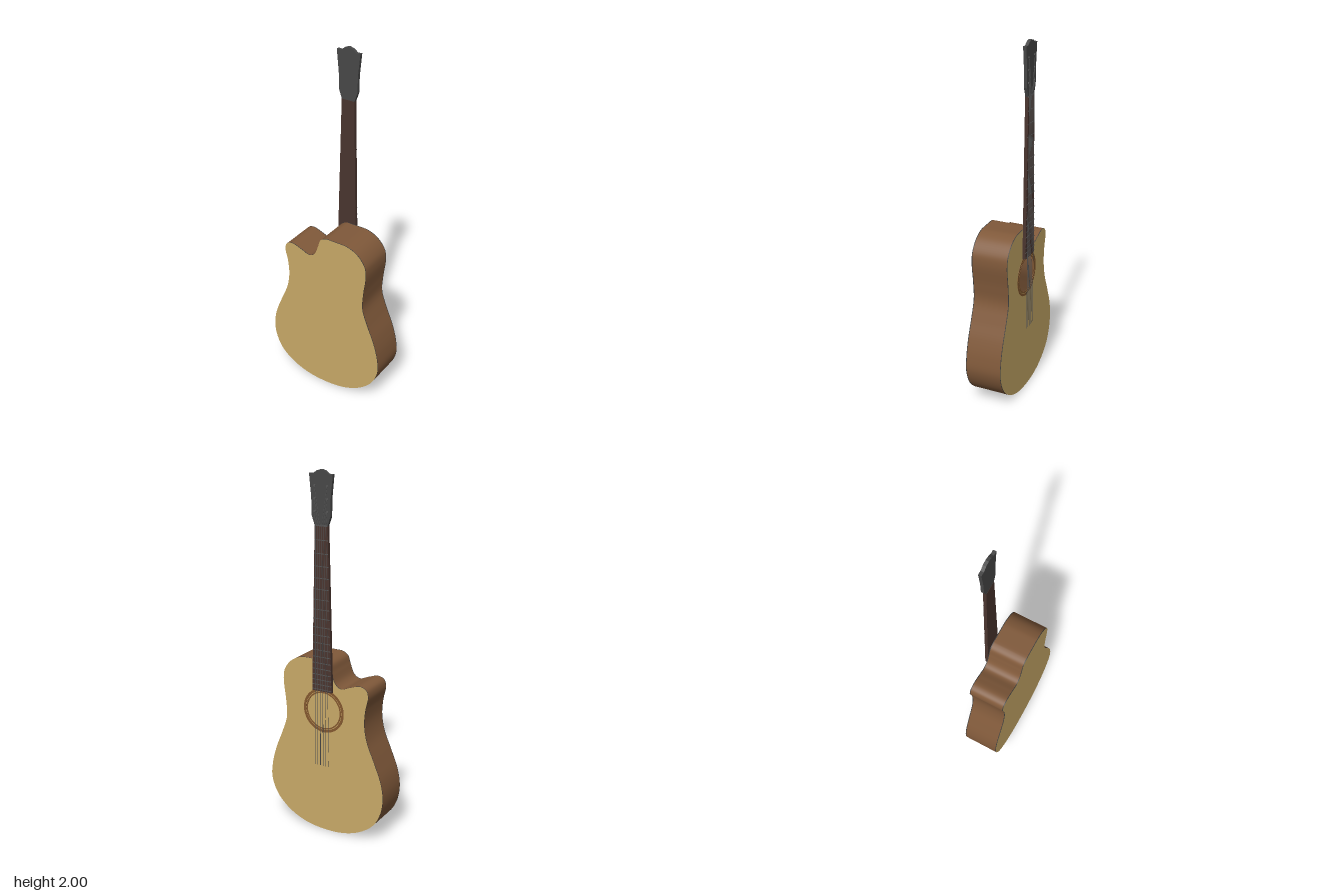
import * as THREE from 'three';

const mat = (color, extra = {}) => new THREE.MeshStandardMaterial({ color, ...extra });
const spruce = mat(0xc9aa68);
const sideWood = mat(0x80593a, { side: THREE.DoubleSide });
const rosetteWood = mat(0x85592f);
const neckWood = mat(0x4a352f);
const darkGrey = mat(0x484848);
const binding = mat(0x3c3c3c);
const steel = mat(0x555555);

const HALF = 0.103;           // half the body depth
const CX = 0.009;             // centre line of neck, strings and sound hole
const HOLE_Y = 0.715;
const NUT_Y = 1.72, BOARD_END = 0.83;
const BOARD_FACE = -0.121;

// Body outline with a single cutaway, clockwise from the bottom
const OUTLINE = [
  [0, 0], [-0.125, 0.01], [-0.225, 0.047], [-0.305, 0.11], [-0.345, 0.19], [-0.357, 0.275],
  [-0.343, 0.367], [-0.3, 0.48], [-0.256, 0.587], [-0.24, 0.68], [-0.246, 0.766], [-0.261, 0.84],
  [-0.25, 0.877], [-0.214, 0.892], [-0.155, 0.876], [-0.098, 0.857], [-0.064, 0.878], [-0.04, 0.935],
  [-0.023, 0.98], [0.018, 1.0], [0.135, 1.0], [0.206, 0.972], [0.254, 0.914], [0.264, 0.856],
  [0.25, 0.73], [0.247, 0.634], [0.28, 0.534], [0.321, 0.433], [0.348, 0.333], [0.354, 0.243],
  [0.318, 0.148], [0.24, 0.07], [0.13, 0.018],
];

function add(parent, name, geometry, material) {
  const mesh = new THREE.Mesh(geometry, material);
  mesh.name = name;
  parent.add(mesh);
  return mesh;
}

// Flat shape given thickness from z0 to z1
function slab(shape, z0, z1) {
  const g = new THREE.ExtrudeGeometry(shape, { depth: z1 - z0, bevelEnabled: false, curveSegments: 40 });
  return g.translate(0, 0, z0);
}

function ringShape(inner, outer) {
  const s = new THREE.Shape().absarc(CX, HOLE_Y, outer, 0, Math.PI * 2, false);
  s.holes.push(new THREE.Path().absarc(CX, HOLE_Y, inner, 0, Math.PI * 2, true));
  return s;
}

// Smooth closed wall following the outline
function wall(points, z0, z1) {
  const pos = [], index = [], n = points.length;
  points.forEach((p, i) => {
    pos.push(p.x, p.y, z0, p.x, p.y, z1);
    const a = 2 * i, b = 2 * ((i + 1) % n);
    index.push(a, a + 1, b + 1, a, b + 1, b);
  });
  const g = new THREE.BufferGeometry();
  g.setAttribute('position', new THREE.Float32BufferAttribute(pos, 3));
  g.setIndex(index);
  g.computeVertexNormals();
  return g;
}

// Thin rod between two points
function rod(a, b, radius) {
  return new THREE.TubeGeometry(new THREE.LineCurve3(a, b), 1, radius, 6, false);
}

const boardHalfWidth = (y) => THREE.MathUtils.mapLinear(y, 1.0, NUT_Y, 0.0555, 0.038);

function buildBody() {
  const body = new THREE.Group();
  body.name = 'body';
  const curve = new THREE.CatmullRomCurve3(OUTLINE.map(([x, y]) => new THREE.Vector3(x, y, 0)), true);
  const points = curve.getPoints(200).slice(0, -1).map((p) => new THREE.Vector2(p.x, Math.min(1, Math.max(0, p.y))));

  const t = 0.004;
  add(body, 'sides', wall(points, -HALF + t, HALF - t), sideWood);
  add(body, 'back', slab(new THREE.Shape(points), HALF - t, HALF), [spruce, binding]);

  const top = new THREE.Shape(points);
  top.holes.push(new THREE.Path().absarc(CX, HOLE_Y, 0.1, 0, Math.PI * 2, true));
  add(body, 'soundboard', slab(top, -HALF, -HALF + t), [spruce, binding]);

  // Rosette of two wooden rings around the sound hole
  for (const [inner, outer] of [[0.1, 0.108], [0.111, 0.125]]) {
    add(body, 'rosetteRing', slab(ringShape(inner, outer), -HALF - 0.0015, -HALF), rosetteWood);
  }
  return body;
}

function buildNeck() {
  const neck = new THREE.Group();
  neck.name = 'neck';
  const w0 = boardHalfWidth(BOARD_END), w1 = boardHalfWidth(NUT_Y);
  const board = new THREE.Shape([[-w0, BOARD_END], [w0, BOARD_END], [w1, NUT_Y], [-w1, NUT_Y]]
    .map(([x, y]) => new THREE.Vector2(CX + x, y)));
  add(neck, 'fretboard', slab(board, BOARD_FACE, -HALF), neckWood);

  // Frets at equal-tempered spacing
  const scale = 1.32;
  for (let i = 1; i <= 19; i++) {
    const y = NUT_Y - scale * (1 - Math.pow(2, -i / 12));
    const fret = add(neck, 'fret', new THREE.BoxGeometry(2 * boardHalfWidth(y), 0.004, 0.002), steel);
    fret.position.set(CX, y, BOARD_FACE);
  }
  const nut = add(neck, 'nut', new THREE.BoxGeometry(2 * w1, 0.008, 0.004), steel);
  nut.position.set(CX, NUT_Y, BOARD_FACE);

  // Flared headstock with a crowned top
  const half = [[0.038, NUT_Y], [0.055, 1.768], [0.057, 1.86], [0.069, 1.978], [0.046, 1.977], [0.024, 1.993]];
  const rim = [...half, [0, 2], ...half.map(([x, y]) => [-x, y]).reverse()];
  const head = new THREE.Shape(rim.map(([x, y]) => new THREE.Vector2(CX + x, y)));
  add(neck, 'headstock', slab(head, BOARD_FACE, -HALF - 0.001), darkGrey);
  return neck;
}

function buildStrings() {
  const strings = new THREE.Group();
  strings.name = 'strings';
  const z = BOARD_FACE - 0.003;
  for (let i = 0; i < 6; i++) {
    const k = (i - 2.5) / 2.5;                       // -1 to 1 across the neck
    const radius = 0.0011 + 0.0002 * i;
    const low = new THREE.Vector3(CX + k * 0.043, 0.4, z);
    const nut = new THREE.Vector3(CX + k * 0.03, NUT_Y, z);
    // Outer strings wind on the lowest pegs
    const peg = new THREE.Vector3(CX + Math.sign(k) * 0.037, 1.79 + (1 - Math.abs(k)) * 0.16, z);
    add(strings, 'string', rod(low, nut, radius), steel);
    add(strings, 'stringEnd', rod(nut, peg, radius), steel);
    const post = add(strings, 'tuningPost', new THREE.CylinderGeometry(0.006, 0.006, 0.005, 12), steel);
    post.rotation.x = Math.PI / 2;
    post.position.set(peg.x, peg.y, BOARD_FACE - 0.002);
  }
  return strings;
}

export function createModel() {
  const model = new THREE.Group();
  model.name = 'acousticGuitar';
  const guitar = new THREE.Group();
  guitar.name = 'guitar';
  guitar.add(buildBody(), buildNeck(), buildStrings());
  guitar.rotation.y = -0.0587;                       // slight turn about the upright axis
  model.add(guitar);
  return model;
}
